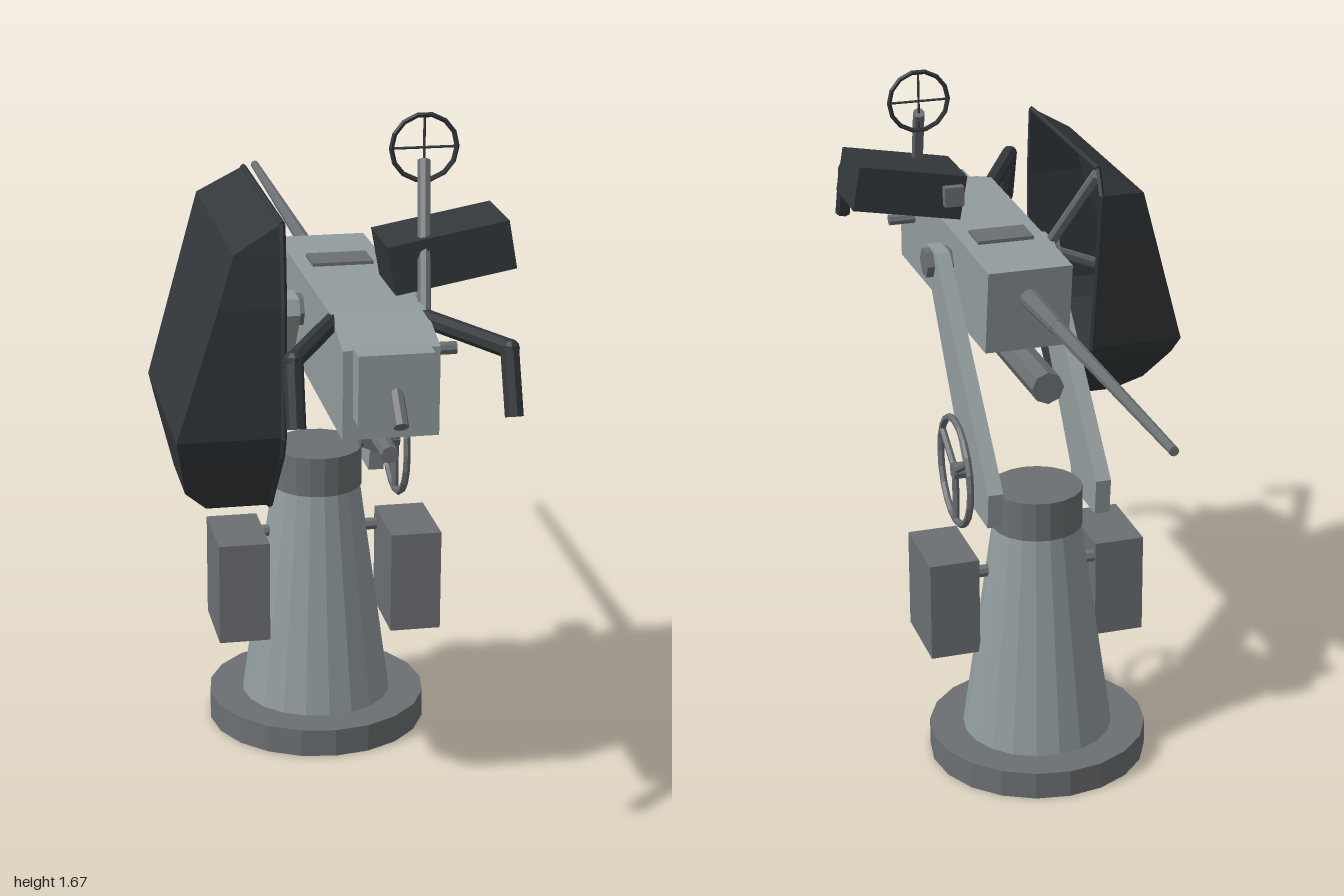
import * as THREE from 'three';

const CX = 0.05; // centre line of the mount
const mat = (color) => new THREE.MeshStandardMaterial({ color, flatShading: true, roughness: 0.8 });
const V = (p) => new THREE.Vector3(...p);

export function createModel() {
  const root = new THREE.Group();
  const light = mat(0x929c9e), mid = mat(0x6c7073), dark = mat(0x33383b);
  const shell = dark.clone();
  shell.side = THREE.DoubleSide;

  const add = (name, geo, m, x = 0, y = 0, z = 0) => {
    const mesh = new THREE.Mesh(geo, m);
    mesh.name = name;
    mesh.position.set(x, y, z);
    root.add(mesh);
    return mesh;
  };
  // straight round bar from a to b
  const rod = (name, a, b, ra, m, rb = ra, sides = 8) => {
    const s = V(a), e = V(b), d = e.clone().sub(s);
    const mesh = add(name, new THREE.CylinderGeometry(rb, ra, d.length(), sides), m);
    mesh.position.copy(s).add(e).multiplyScalar(0.5);
    mesh.quaternion.setFromUnitVectors(new THREE.Vector3(0, 1, 0), d.normalize());
    return mesh;
  };
  const box = (name, x0, x1, y0, y1, z0, z1, m) =>
    add(name, new THREE.BoxGeometry(x1 - x0, y1 - y0, z1 - z0), m, (x0 + x1) / 2, (y0 + y1) / 2, (z0 + z1) / 2);
  // side profile given as [z, y], extruded from x0 to x1
  const slab = (name, pts, x0, x1, m) => {
    const shape = new THREE.Shape(pts.map((p) => new THREE.Vector2(...p)));
    const g = new THREE.ExtrudeGeometry(shape, { depth: x1 - x0, bevelEnabled: false });
    return add(name, g.rotateY(-Math.PI / 2), m, x1);
  };

  // pedestal
  add('base', new THREE.CylinderGeometry(0.275, 0.275, 0.07, 20), mid, CX, 0.035, -0.05);
  add('pedestal', new THREE.CylinderGeometry(0.11, 0.19, 0.57, 20), light, CX, 0.35, -0.05);
  add('pedestalCap', new THREE.CylinderGeometry(0.114, 0.114, 0.1, 20), mid, CX, 0.68, -0.05);

  // paired parts on both sides of the mount
  const armProfile = [[0.385, 1.2], [0.37, 1.235], [0.29, 1.235], [-0.16, 0.77], [-0.15, 0.68], [0.025, 0.68], [0.04, 0.73]];
  for (const s of [-1, 1]) {
    const side = s < 0 ? 'right' : 'left';
    const X = (d) => CX + s * d;
    const c = X(0.215);
    box(side + 'AmmoBox', c - 0.063, c + 0.063, 0.295, 0.55, -0.06, 0.15, mid);
    const a = X(0.137);
    slab(side + 'Arm', armProfile, a - 0.019, a + 0.019, light);
    rod(side + 'TrunnionBolt', [X(0.1), 1.2, 0.33], [X(0.175), 1.2, 0.33], 0.038, mid, 0.038, 6);
    // bent grip handle
    const p = [[X(0.1), 1.27, 0.67], [X(0.23), 1.27, 0.925], [X(0.232), 1.135, 0.97]];
    rod(side + 'HandleBar', p[0], p[1], 0.021, dark);
    rod(side + 'HandleGrip', p[1], p[2], 0.021, dark);
    add(side + 'HandleElbow', new THREE.SphereGeometry(0.022, 8, 6), dark, ...p[1]);
  }
  rod('ammoBoxRod', [-0.11, 0.51, -0.04], [0.21, 0.51, -0.04], 0.016, mid);

  // gun body
  slab('receiver', [[0.82, 1.05], [0.82, 1.25], [0.68, 1.29], [-0.012, 1.28], [0.02, 1.065]], -0.055, 0.157, light);
  box('rearBlock', -0.033, 0.133, 1.1, 1.255, 0.8, 0.877, light);
  box('topCover', -0.02, 0.122, 1.27, 1.292, 0.19, 0.28, mid);
  rod('rearPeg', [CX, 1.17, 0.865], [CX, 1.11, 0.925], 0.017, mid);
  rod('sideBolt', [0.14, 1.2, 0.68], [0.225, 1.2, 0.68], 0.015, mid);

  // barrel and recoil tube
  rod('barrelRoot', [CX, 1.203, 0.02], [CX, 1.208, -0.22], 0.026, mid, 0.019, 10);
  rod('barrel', [CX, 1.208, -0.22], [CX, 1.222, -1], 0.018, mid, 0.011, 10);
  rod('recoilTube', [CX, 1.01, 0.69], [CX, 1.025, -0.145], 0.04, mid);
  rod('recoilRod', [CX, 1.01, 0.82], [CX, 1.01, 0.68], 0.02, mid);

  // shield: hollow tray lofted through rows of [y, outer x, back z, front z]
  const rim = -0.152;
  const rows = [[1.482, -0.156, 0.09, 0.63], [1.42, -0.26, 0.062, 0.638], [1.3, -0.297, 0.08, 0.65],
    [1, -0.39, 0.13, 0.643], [0.95, -0.38, 0.17, 0.62], [0.83, -0.355, 0.31, 0.505], [0.77, -0.3, 0.39, 0.45]];
  const loops = rows.map(([y, x, z0, z1]) => [[rim, y, z0], [x, y, z0], [x, y, z1], [rim, y, z1]]);
  const tri = [];
  const quad = (a, b, c, d) => tri.push(...a, ...b, ...c, ...a, ...c, ...d);
  for (let i = 0; i + 1 < loops.length; i++)
    for (let k = 0; k < 3; k++) quad(loops[i][k], loops[i + 1][k], loops[i + 1][k + 1], loops[i][k + 1]);
  const top = loops[0], end = loops[loops.length - 1];
  quad(...top);
  quad(end[3], end[2], end[1], end[0]);
  const sg = new THREE.BufferGeometry();
  sg.setAttribute('position', new THREE.Float32BufferAttribute(tri, 3));
  sg.computeVertexNormals();
  add('shield', sg, shell);
  const edge = [...loops.map((l) => l[0]), ...loops.map((l) => l[3]).reverse()];
  edge.forEach((p, i) => rod('shieldRim', p, edge[(i + 1) % edge.length], 0.007, dark, 0.007, 5));
  rod('shieldStrutUpper', [-0.1, 1.21, 0.33], [-0.152, 1.465, 0.1], 0.014, mid);
  rod('shieldStrutLower', [-0.1, 1.2, 0.34], [-0.32, 1.1, 0.39], 0.014, mid);

  // sight box, post and ring sight
  const sight = add('sightBox', new THREE.BoxGeometry(0.28, 0.113, 0.18), dark, 0.243, 1.368, 0.468);
  sight.rotation.z = 0.18;
  box('sightBoxLug', 0.11, 0.16, 1.33, 1.38, 0.355, 0.385, mid);
  rod('sightPost', [0.165, 1.27, 0.625], [0.205, 1.56, 0.425], 0.015, mid);
  const ring = [0.205, 1.59, 0.425];
  add('sightRing', new THREE.TorusGeometry(0.075, 0.006, 5, 14), dark, ...ring);
  rod('sightWireAcross', [0.13, 1.59, 0.425], [0.28, 1.59, 0.425], 0.003, dark, 0.003, 4);
  rod('sightWireUpright', [0.205, 1.515, 0.425], [0.205, 1.665, 0.425], 0.003, dark, 0.003, 4);

  // elevation handwheel
  const w = [0.236, 0.762, 0.025];
  add('handwheelRim', new THREE.TorusGeometry(0.135, 0.009, 6, 20).rotateY(Math.PI / 2), mid, ...w);
  rod('handwheelShaft', [0.145, w[1], w[2]], [0.244, w[1], w[2]], 0.022, mid);
  for (let i = 0; i < 3; i++) {
    const t = -Math.PI / 2 + (i * Math.PI * 2) / 3;
    rod('handwheelSpoke', w, [w[0], w[1] + 0.135 * Math.sin(t), w[2] + 0.135 * Math.cos(t)], 0.009, mid, 0.009, 6);
  }
  return root;
}
